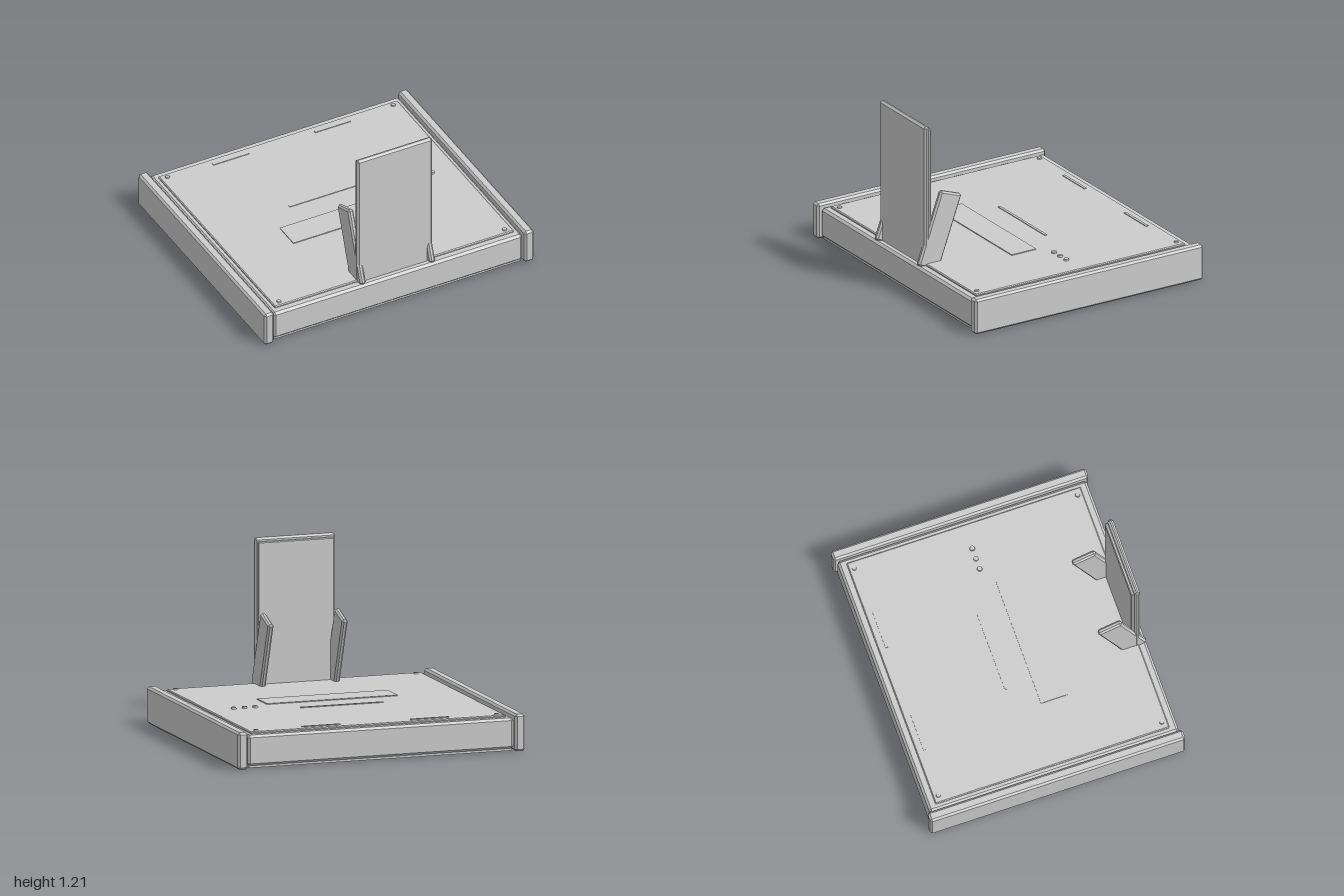
import * as THREE from 'three';
import { ConvexGeometry } from 'three/addons/geometries/ConvexGeometry.js';

const grey = new THREE.MeshStandardMaterial({ color: 0xcccccc });
grey.name = 'plain grey';

// Box with all twelve edges chamfered by c
function chamferBox(w, h, d, c) {
  const pts = [];
  for (const sx of [-1, 1]) for (const sy of [-1, 1]) for (const sz of [-1, 1]) {
    const x = w / 2, y = h / 2, z = d / 2;
    pts.push(new THREE.Vector3(sx * x, sy * (y - c), sz * (z - c)));
    pts.push(new THREE.Vector3(sx * (x - c), sy * y, sz * (z - c)));
    pts.push(new THREE.Vector3(sx * (x - c), sy * (y - c), sz * z));
  }
  return new ConvexGeometry(pts);
}

export function createModel() {
  const model = new THREE.Group();
  model.name = 'consoleWithUprightPanel';

  function add(name, geometry, x, y, z) {
    const mesh = new THREE.Mesh(geometry, grey);
    mesh.name = name;
    mesh.position.set(x, y, z);
    model.add(mesh);
    return mesh;
  }
  // Box placed by its minimum and maximum corners
  function block(name, [x0, y0, z0], [x1, y1, z1], c = 0) {
    const w = x1 - x0, h = y1 - y0, d = z1 - z0;
    const geometry = c ? chamferBox(w, h, d, c) : new THREE.BoxGeometry(w, h, d);
    return add(name, geometry, (x0 + x1) / 2, (y0 + y1) / 2, (z0 + z1) / 2);
  }
  // Short round part standing on y0
  function disc(name, rTop, rBottom, x, y0, y1, z) {
    add(name, new THREE.CylinderGeometry(rTop, rBottom, y1 - y0, 24), x, (y0 + y1) / 2, z);
  }

  // Low case with a bottom cover and a top plate
  block('caseBody', [-0.925, 0.02, -0.865], [0.925, 0.225, 0.865], 0.016);
  block('bottomCover', [-0.915, 0.006, -0.85], [0.915, 0.03, 0.85]);
  block('topPlate', [-0.888, 0.2, -0.812], [0.888, 0.238, 0.812], 0.006);

  // Raised strip and narrow bars on the top plate
  block('centreStrip', [-0.455, 0.23, 0.07], [0.455, 0.244, 0.26]);
  block('centreBar', [-0.287, 0.23, -0.122], [0.287, 0.243, -0.104]);

  for (const s of [-1, 1]) {
    // Side rails
    const rail = block('sideRail', [-0.035, 0.003, -0.885], [0.035, 0.25, 0.885], 0.014);
    rail.position.x = s * 0.965;

    // Rear bars
    add('rearBar', new THREE.BoxGeometry(0.266, 0.013, 0.018), s * 0.378, 0.2365, -0.755);

    // Leaning braces beside the upright panel
    const brace = add('brace', chamferBox(0.04, 0.526, 0.172, 0.012), s * 0.258, 0.4525, 0.7);
    brace.rotation.x = THREE.MathUtils.degToRad(-19.8);
    brace.rotation.x *= -1;
    brace.rotation.x = -Math.abs(brace.rotation.x);

    for (const t of [-1, 1]) {
      disc('cornerScrew', 0.014, 0.018, s * 0.838, 0.23, 0.246, t * 0.775);
      disc('foot', 0.055, 0.055, s * 0.79, 0, 0.012, t * 0.71);
    }
  }

  // Row of three buttons
  for (const x of [0.563, 0.638, 0.713]) disc('button', 0.016, 0.019, x, 0.23, 0.25, 0);

  // Upright panel with a thinner sheet behind it
  block('uprightPanel', [-0.28, 0.2, 0.784], [0.28, 1.21, 0.822], 0.014);
  block('rearSheet', [-0.266, 0.22, 0.762], [0.266, 1.185, 0.786], 0.006);

  return model;
}
